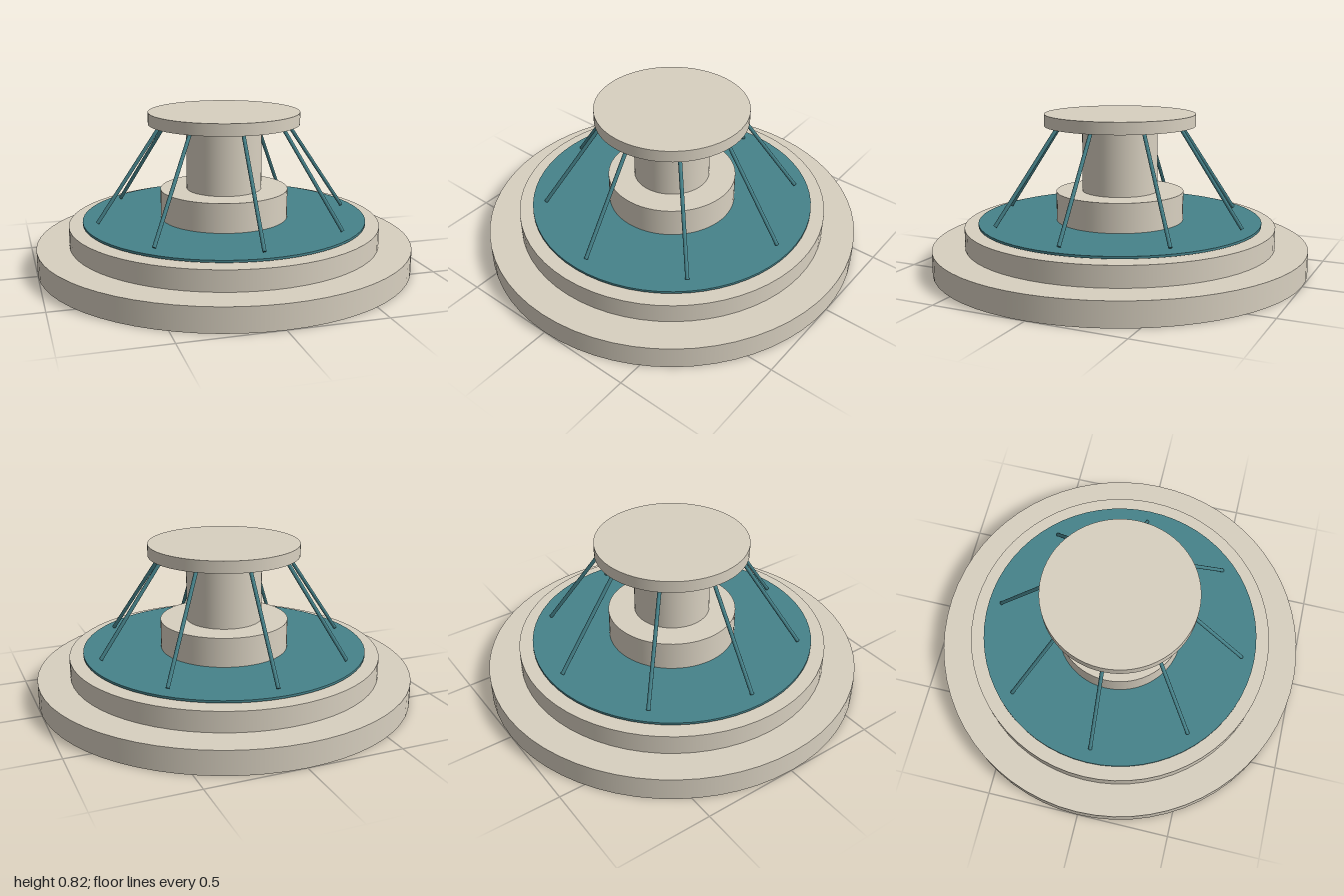
import * as THREE from 'three';

const STONE = new THREE.MeshStandardMaterial({ color: 0xd8d0c0 });
const TEAL = new THREE.MeshStandardMaterial({ color: 0x46828a });

// Upright disc or drum spanning y0..y1
function drum(name, radius, y0, y1, material = STONE) {
  const mesh = new THREE.Mesh(new THREE.CylinderGeometry(radius, radius, y1 - y0, 64), material);
  mesh.name = name;
  mesh.position.y = (y0 + y1) / 2;
  return mesh;
}

// Thin round rod between two points
function rod(name, from, to, radius) {
  const dir = to.clone().sub(from);
  const mesh = new THREE.Mesh(new THREE.CylinderGeometry(radius, radius, dir.length(), 12), TEAL);
  mesh.name = name;
  mesh.position.copy(from).add(to).multiplyScalar(0.5);
  mesh.quaternion.setFromUnitVectors(new THREE.Vector3(0, 1, 0), dir.normalize());
  return mesh;
}

export function createModel() {
  const model = new THREE.Group();
  model.name = 'tieredPedestal';

  // Stacked base, hub, column and cap
  model.add(
    drum('lowerBase', 1, 0, 0.125),
    drum('upperBase', 0.828, 0.125, 0.232),
    drum('floorDisc', 0.755, 0.24, 0.252, TEAL),
    drum('hub', 0.34, 0.232, 0.407),
    drum('column', 0.2, 0.407, 0.757),
    drum('cap', 0.4, 0.757, 0.82),
  );

  // Eight slanted stays from the floor disc up to the cap
  const stays = new THREE.Group();
  stays.name = 'stays';
  for (let i = 0; i < 8; i++) {
    const a = (i * Math.PI) / 4;
    const at = (r, y) => new THREE.Vector3(r * Math.cos(a), y, r * Math.sin(a));
    stays.add(rod('stay', at(0.683, 0.261), at(0.34, 0.762), 0.01));
  }
  model.add(stays);
  return model;
}
